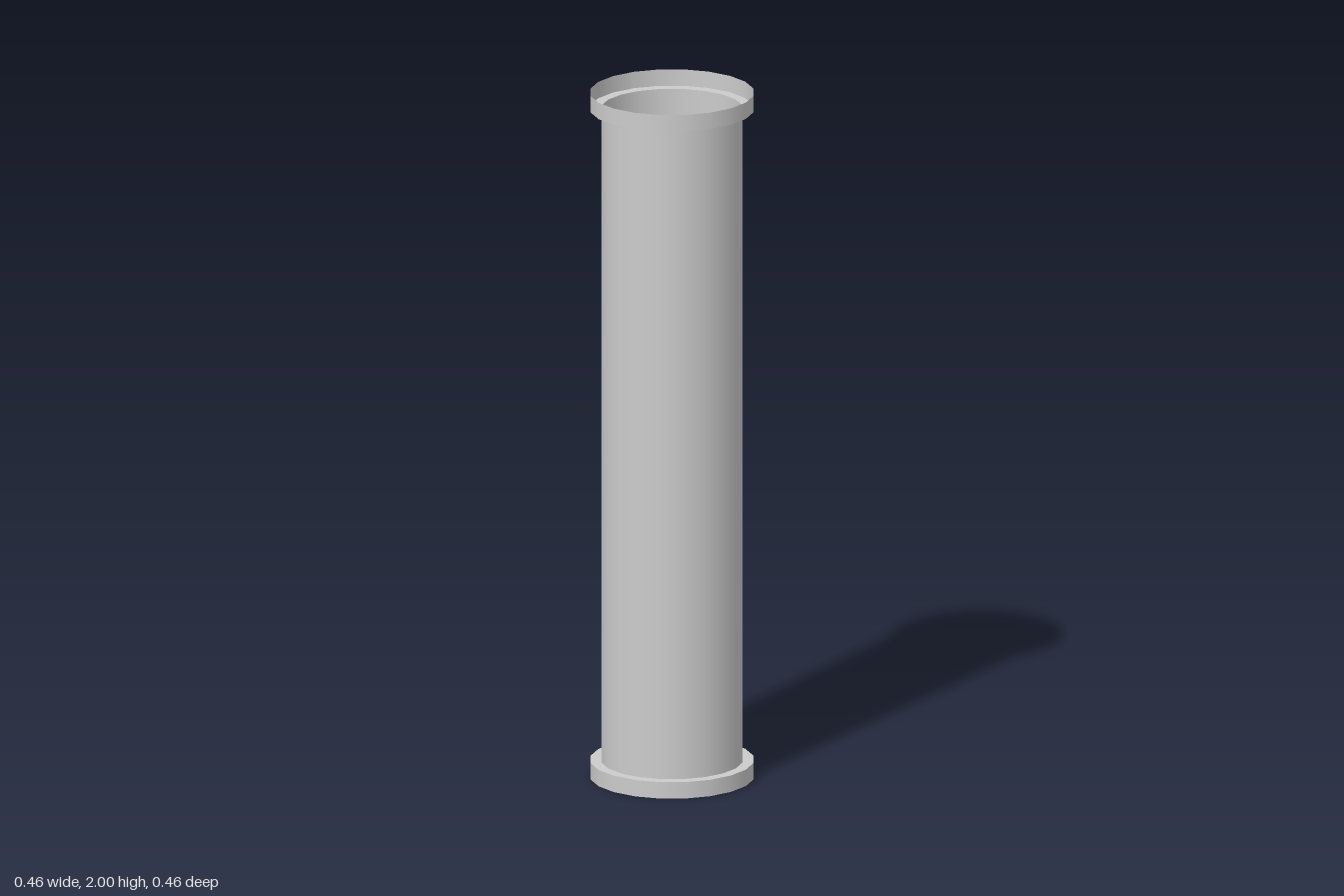
import * as THREE from 'three';

const SIDES = 20, HEIGHT = 2, RIM = 0.048, R_TUBE = 0.201, R_COLLAR = 0.232;

export function createModel() {
  const model = new THREE.Group();
  model.name = 'flangedTube';
  const material = new THREE.MeshStandardMaterial({ color: 0xcccccc, side: THREE.DoubleSide });

  // One smooth band per profile segment keeps the edges between bands sharp
  const band = (name, r0, y0, r1, y1) => {
    const points = [new THREE.Vector2(r0, y0), new THREE.Vector2(r1, y1)];
    const mesh = new THREE.Mesh(new THREE.LatheGeometry(points, SIDES), material);
    mesh.name = name;
    model.add(mesh);
  };

  // Thin open wall, running up from the bottom rim
  band('bottomCollar', R_COLLAR, 0, R_COLLAR, RIM);
  band('bottomLedge', R_COLLAR, RIM, R_TUBE, RIM);
  band('tube', R_TUBE, RIM, R_TUBE, HEIGHT - RIM);
  band('topLedge', R_TUBE, HEIGHT - RIM, R_COLLAR, HEIGHT - RIM);
  band('topCollar', R_COLLAR, HEIGHT - RIM, R_COLLAR, HEIGHT);

  return model;
}
